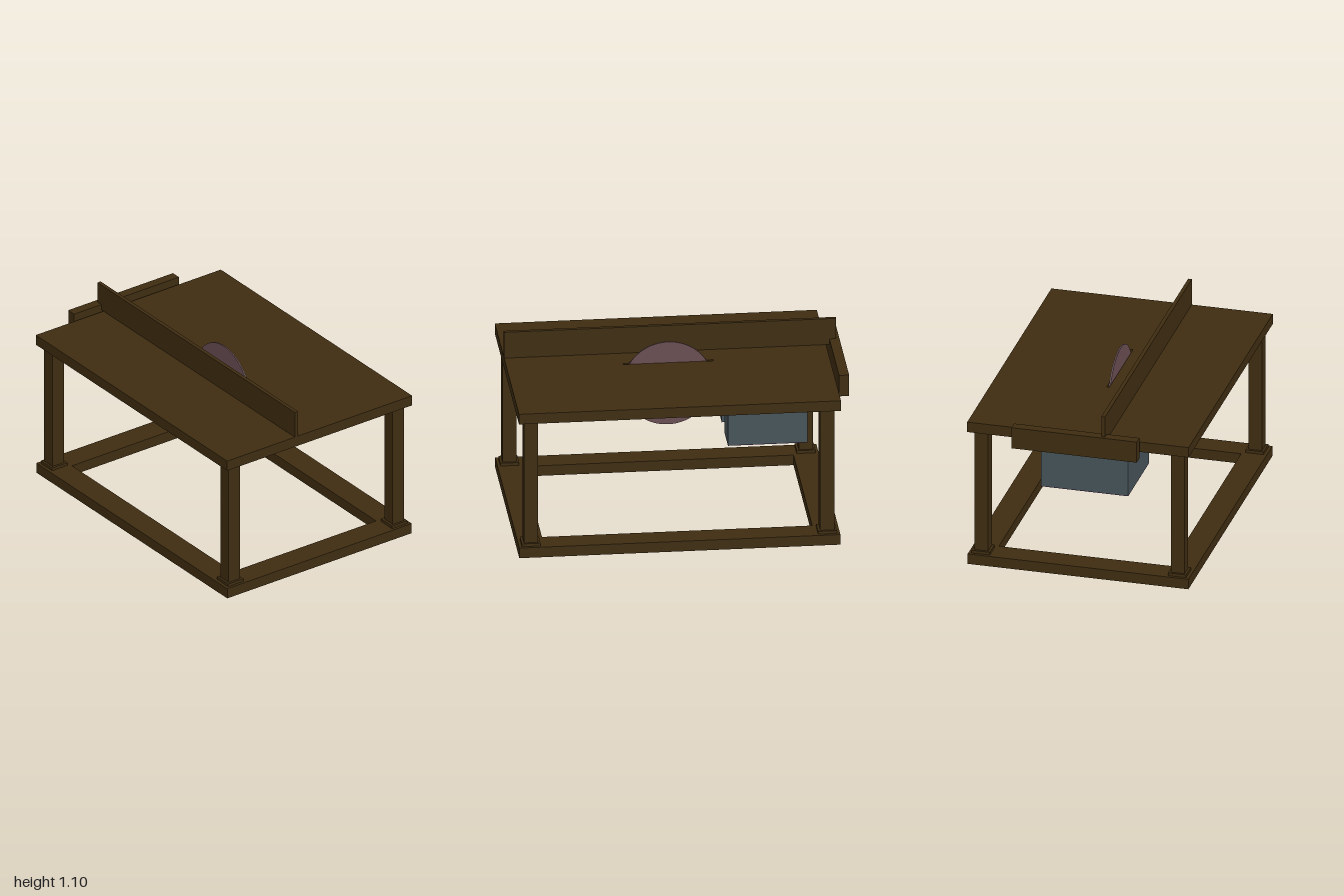
import * as THREE from 'three';

const mat = (name, color, side = THREE.FrontSide) => {
  const m = new THREE.MeshStandardMaterial({ color, side });
  m.name = name;
  return m;
};

export function createModel() {
  const wood = mat('dark wood', 0x3f2d11);
  const steel = mat('blue grey housing', 0x48555a);
  const violet = mat('violet lining', 0x482f56, THREE.DoubleSide);
  const bladeMat = mat('dull rose blade', 0x6b4f54);
  const model = new THREE.Group();
  model.name = 'tableSaw';

  const add = (name, geometry, material) => {
    const mesh = new THREE.Mesh(geometry, material);
    mesh.name = name;
    model.add(mesh);
    return mesh;
  };

  // Box given by its extents on each axis
  const box = (name, material, [x0, x1], [y0, y1], [z0, z1]) => {
    const mesh = add(name, new THREE.BoxGeometry(x1 - x0, y1 - y0, z1 - z0), material);
    mesh.position.set((x0 + x1) / 2, (y0 + y1) / 2, (z0 + z1) / 2);
    return mesh;
  };

  // Plan outline in x and z (shape y is -z), extruded upwards
  const corners = (x0, x1, z0, z1) =>
    [[x0, -z1], [x1, -z1], [x1, -z0], [x0, -z0]].map(([x, y]) => new THREE.Vector2(x, y));
  const slab = (name, material, shape, y0, y1) => {
    const geometry = new THREE.ExtrudeGeometry(shape, { depth: y1 - y0, bevelEnabled: false });
    geometry.rotateX(-Math.PI / 2);
    geometry.translate(0, y0, 0);
    return add(name, geometry, material);
  };

  // Table top with the blade slot
  const top = new THREE.Shape(corners(-0.68, 0.68, -0.92, 1));
  top.holes.push(new THREE.Path(corners(-0.008, 0.008, -0.233, 0.307)));
  slab('tableTop', wood, top, 0.866, 0.931);

  // Open floor frame
  const frame = new THREE.Shape(corners(-0.678, 0.678, -0.917, 0.998));
  frame.holes.push(new THREE.Path(corners(-0.527, 0.527, -0.765, 0.847)));
  slab('baseFrame', wood, frame, 0, 0.065);

  // Legs on foot pads
  for (const x of [-0.603, 0.603]) {
    for (const z of [-0.842, 0.925]) {
      box('leg', wood, [x - 0.042, x + 0.042], [0.083, 0.866], [z - 0.042, z + 0.042]);
      box('footPad', wood, [x - 0.056, x + 0.056], [0.065, 0.083], [z - 0.056, z + 0.056]);
    }
  }

  // Guide fence and its rear rail
  box('fence', wood, [-0.183, -0.16], [0.931, 1.098], [-0.98, 1]);
  box('rearRail', wood, [-0.383, 0.387], [0.832, 0.967], [-1, -0.94]);

  // Circular blade
  const blade = add('blade', new THREE.CylinderGeometry(0.266, 0.266, 0.009, 64), bladeMat);
  blade.rotation.z = Math.PI / 2;
  blade.position.set(0, 0.797, 0.04);

  // Motor housing, notched from the front
  const notch = 0.085, back = -0.61, front = -0.29;
  const plan = () => new THREE.Shape([
    [-0.267, -front], [-notch, -front], [-notch, -back], [notch, -back],
    [notch, -front], [0.267, -front], [0.267, 0.765], [-0.267, 0.765],
  ].map(([x, y]) => new THREE.Vector2(x, y)));
  slab('motorHousing', steel, plan(), 0.494, 0.866);
  slab('housingUnderside', violet, plan(), 0.49, 0.494);

  // Lining at the inner end of the notch
  box('notchBack', violet, [-notch, notch], [0.49, 0.866], [back, back + 0.004]);
  for (const s of [-1, 1]) {
    const x = s * (notch - 0.002);
    box('notchSide', violet, [x - 0.002, x + 0.002], [0.494, 0.866], [back + 0.004, -0.41]);
  }
  return model;
}
